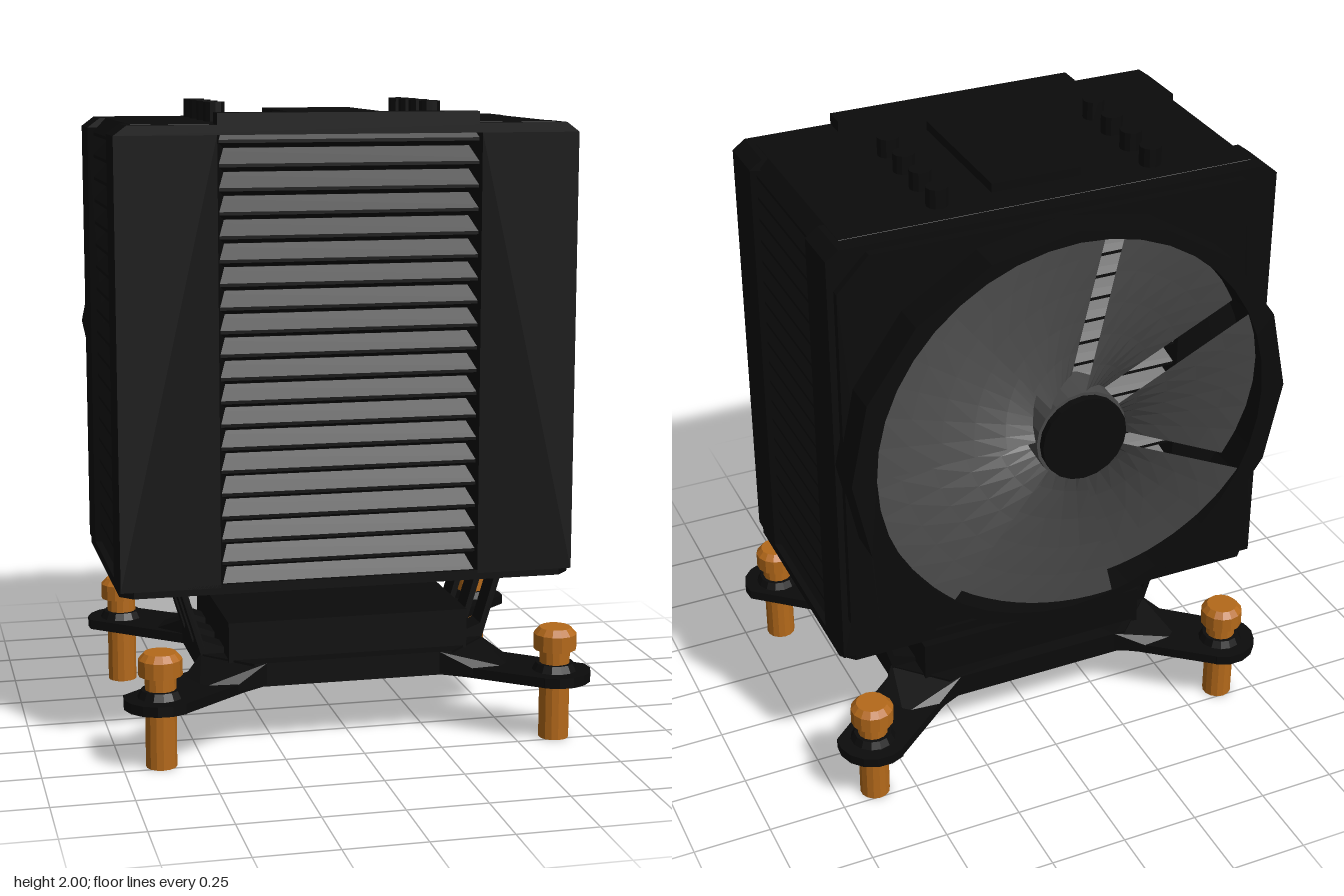
import * as THREE from 'three';
import { ConvexGeometry } from 'three/addons/geometries/ConvexGeometry.js';

const mat = (color, extra = {}) => new THREE.MeshStandardMaterial({ color, flatShading: true, ...extra });
const black = mat(0x0b0b0b);
const grey = mat(0x484848, { side: THREE.DoubleSide });
const copper = mat(0xb4691a);

function add(parent, name, geometry, material = black, x = 0, y = 0, z = 0) {
  const mesh = new THREE.Mesh(geometry, material);
  mesh.name = name;
  mesh.position.set(x, y, z);
  parent.add(mesh);
  return mesh;
}

// box given by its limits
function block(parent, name, x0, x1, y0, y1, z0, z1) {
  return add(parent, name, new THREE.BoxGeometry(x1 - x0, y1 - y0, z1 - z0), black,
    (x0 + x1) / 2, (y0 + y1) / 2, (z0 + z1) / 2);
}

const polygon = pts => new THREE.Shape(pts.map(p => new THREE.Vector2(...p)));
const extrude = (shape, depth, extra = {}) =>
  new THREE.ExtrudeGeometry(shape, { depth, bevelEnabled: false, ...extra });

// plan outline (x, z) raised from y0 to y1
const slab = (shape, y0, y1, extra) => extrude(shape, y1 - y0, extra).rotateX(Math.PI / 2).translate(0, y1, 0);

const quadrants = [[1, 1], [-1, 1], [1, -1], [-1, -1]];

function tower() {
  const g = new THREE.Group();
  g.name = 'finTower';
  g.position.set(-0.02, 0, -0.01);

  // stacked fins, each with a sloping edge that points slightly downwards
  const w = 0.66, d = 0.355;
  const finGeo = extrude(polygon([[-w, -d], [w, -d], [w, d], [-w, d]]), 0.01,
    { bevelEnabled: true, bevelThickness: 0.0305, bevelSize: 0.042, bevelSegments: 1 });
  finGeo.rotateX(Math.PI / 2).translate(0, 0.005, 0);
  const p = finGeo.attributes.position;
  for (let i = 0; i < p.count; i++) if (Math.abs(p.getY(i)) < 0.01) p.setY(i, p.getY(i) - 0.015);
  for (let i = 0; i < 20; i++) add(g, 'fin', finGeo, black, 0, 0.547 + i * 0.0715, 0);
  block(g, 'finCore', -w, w, 0.52, 1.93, -d, d);

  // solid corner columns
  const column = slab(polygon([[0.72, 0.41], [0.41, 0.41], [0.37, 0.33], [0.64, 0.205], [0.72, 0.245]]), 0.53, 1.91);
  for (const [sx, sz] of quadrants) add(g, 'cornerColumn', column).scale.set(sx, 1, sz);

  // top cover, bevelled at the ends and notched at the sides
  const lid = extrude(polygon([[-0.72, 1.91], [0.72, 1.91], [0.68, 1.94], [-0.68, 1.94]]), 0.165);
  add(g, 'topCoverFront', lid, black, 0, 0, 0.245);
  add(g, 'topCoverBack', lid, black, 0, 0, -0.41);
  block(g, 'topCoverMiddle', -0.64, 0.64, 1.905, 1.94, -0.25, 0.25);
  block(g, 'frontRidge', -0.41, 0.40, 1.94, 1.975, 0.34, 0.41);
  block(g, 'topPanel', -0.145, 0.145, 1.94, 1.97, -0.25, 0.245);

  // bottom cover with cut corners
  add(g, 'bottomCover', slab(polygon([[-0.68, -0.41], [0.68, -0.41], [0.72, -0.37], [0.72, 0.37],
    [0.68, 0.41], [-0.68, 0.41], [-0.72, 0.37], [-0.72, -0.37]]), 0.51, 0.54));

  // heat pipe ends
  const pipe = new THREE.CylinderGeometry(0.034, 0.034, 0.07, 12);
  for (const x of [-0.37, 0.32])
    for (let i = 0; i < 4; i++) add(g, 'heatPipeEnd', pipe, black, x, 1.965, 0.125 - i * 0.127);
  return g;
}

function fan() {
  const g = new THREE.Group();
  g.name = 'fan';
  g.position.set(-0.02, 1.245, 0);

  const withHole = shape => {
    shape.holes.push(new THREE.Path().absarc(0, 0, 0.64, 0, Math.PI * 2, true));
    return shape;
  };
  // thin mounting plate with cut corners
  const plate = polygon([[-0.6, -0.675], [0.6, -0.675], [0.7, -0.57], [0.7, 0.57], [0.6, 0.675],
    [-0.6, 0.675], [-0.7, 0.57], [-0.7, -0.57]]);
  add(g, 'fanPlate', extrude(withHole(plate), 0.03, { curveSegments: 20 }), black, 0, 0, -0.445);
  // sixteen-sided shroud ring, slightly wider than tall
  const ring = [];
  for (let i = 0; i < 16; i++) {
    const a = i * Math.PI / 8;
    ring.push([0.718 * Math.cos(a), 0.678 * Math.sin(a)]);
  }
  add(g, 'fanShroud', extrude(withHole(polygon(ring)), 0.135, { curveSegments: 20 }), black, 0, 0, -0.555);

  // pitched blades
  const blade = new THREE.PlaneGeometry(1, 1, 6, 5);
  const p = blade.attributes.position;
  for (let i = 0; i < p.count; i++) {
    const u = p.getX(i) + 0.5, v = p.getY(i) + 0.5;
    const r = 0.12 + 0.52 * v;
    const a = u * 0.9;
    p.setXYZ(i, r * Math.cos(a), r * Math.sin(a), -0.55 + 0.1 * u);
  }
  blade.computeVertexNormals();
  for (let i = 0; i < 7; i++) add(g, 'fanBlade', blade, grey).rotation.z = i * Math.PI * 2 / 7;

  const hub = (r, depth) => new THREE.CylinderGeometry(r, r, depth, 20).rotateX(Math.PI / 2);
  add(g, 'hubRim', hub(0.148, 0.13), grey, -0.015, -0.005, -0.495);
  add(g, 'hubCap', hub(0.138, 0.165), black, -0.015, -0.005, -0.5025);
  return g;
}

function screw() {
  const g = new THREE.Group();
  g.name = 'screw';
  const profile = [[0, 0], [0.048, 0], [0.048, 0.29], [0.068, 0.29], [0.068, 0.34], [0.05, 0.36], [0, 0.36]];
  add(g, 'screwBody', new THREE.LatheGeometry(profile.map(q => new THREE.Vector2(...q)), 14), copper);
  add(g, 'washer', new THREE.CylinderGeometry(0.06, 0.073, 0.025, 14), black, 0, 0.2325, 0);
  return g;
}

function base() {
  const g = new THREE.Group();
  g.name = 'base';
  g.position.set(-0.002, 0, 0.006);
  block(g, 'contactPlate', -0.355, 0.35, 0.17, 0.21, -0.275, 0.275);
  block(g, 'baseBlock', -0.39, 0.385, 0.25, 0.39, -0.31, 0.305);

  const half = [[0.46, 0.22], [0.32, 0.36], [-0.32, 0.36], [-0.46, 0.22]];
  const outline = polygon([...half, ...half.map(([x, z]) => [-x, -z])]);
  add(g, 'basePlate', slab(outline, 0.195, 0.27));

  // mounting arm with rounded tip
  const arm = new THREE.Shape();
  arm.moveTo(0.40, 0.15);
  arm.lineTo(0.22, 0.30);
  arm.lineTo(0.36, 0.39);
  arm.lineTo(0.565, 0.555);
  arm.absarc(0.63, 0.464, 0.115, 2.16, -0.28, true);
  arm.lineTo(0.47, 0.2);
  const armGeo = slab(arm, 0.19, 0.222, { curveSegments: 3 });
  // slope from the plate down to the arm
  const ramp = new ConvexGeometry([[0.28, 0.27, 0.36], [0.46, 0.27, 0.20], [0.2, 0.27, 0.2], [0.39, 0.215, 0.41],
    [0.54, 0.215, 0.30], [0.50, 0.215, 0.40], [0.2, 0.2, 0.2], [0.28, 0.2, 0.36], [0.46, 0.2, 0.20],
    [0.39, 0.2, 0.41], [0.54, 0.2, 0.30], [0.50, 0.2, 0.40]].map(q => new THREE.Vector3(...q)));
  for (const [sx, sz] of quadrants) {
    const corner = new THREE.Group();
    corner.name = 'mountingArm';
    corner.scale.set(sx, 1, sz);
    add(corner, 'arm', armGeo);
    add(corner, 'armRamp', ramp);
    const s = screw();
    s.position.set(0.63, 0, 0.463);
    corner.add(s);
    g.add(corner);
  }

  // slanted straps up to the tower, with small feet
  const strap = extrude(polygon([[0.442, 0.26], [0.462, 0.26], [0.54, 0.52], [0.52, 0.52]]), 0.088);
  const foot = extrude(polygon([[0.37, 0.26], [0.46, 0.26], [0.46, 0.315], [0.38, 0.285]]), 0.088);
  for (const side of [1, -1])
    for (const z of [0.172, -0.003, -0.178]) {
      add(g, 'strap', strap, black, 0, 0, z - 0.044).scale.x = side;
      add(g, 'strapFoot', foot, black, 0, 0, z - 0.044).scale.x = side;
    }
  return g;
}

export function createModel() {
  const model = new THREE.Group();
  model.name = 'towerCooler';
  model.add(tower(), fan(), base());
  return model;
}
